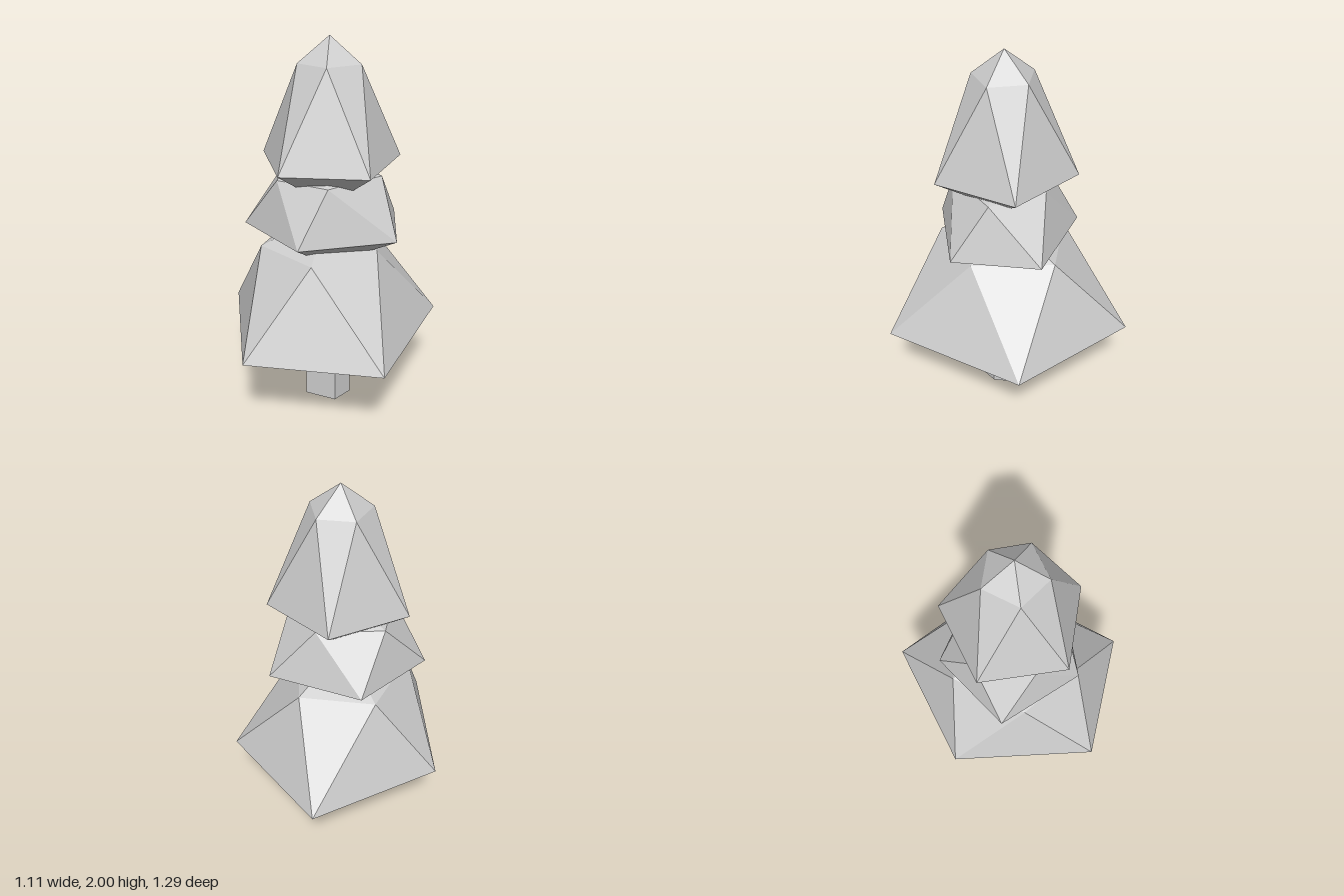
import * as THREE from 'three';

const material = new THREE.MeshStandardMaterial({ color: 0xcccccc, flatShading: true });

// Faceted tier: two five-point rings (upper points sit between lower points),
// closed by a top point and a bottom point. Ring points are [x, z].
function makeTier(name, { tip, upperY, upper, lowerY, lower, base }) {
  const n = lower.length;
  const positions = [];
  const up = i => [upper[i % n][0], upperY, upper[i % n][1]];
  const low = i => [lower[i % n][0], lowerY, lower[i % n][1]];
  const face = (...corners) => corners.forEach(c => positions.push(...c));
  for (let i = 0; i < n; i++) {
    face(up(i), tip, up(i + 1));           // cap
    face(low(i), up(i), low(i + 1));       // skirt
    face(low(i + 1), up(i), up(i + 1));
    face(low(i + 1), base, low(i));        // underside
  }
  const geometry = new THREE.BufferGeometry();
  geometry.setAttribute('position', new THREE.Float32BufferAttribute(positions, 3));
  geometry.computeVertexNormals();
  const mesh = new THREE.Mesh(geometry, material);
  mesh.name = name;
  return mesh;
}

export function createModel() {
  const tree = new THREE.Group();
  tree.name = 'pineTree';

  // Six-sided trunk, slightly tapered and slightly squared off
  const trunkGeometry = new THREE.CylinderGeometry(0.128, 0.132, 0.5, 6);
  trunkGeometry.rotateY(Math.PI / 2);
  const p = trunkGeometry.attributes.position;
  for (let i = 0; i < p.count; i++) {
    const x = p.getX(i);
    if (Math.abs(x) > 0.01 && Math.abs(x) < 0.1) p.setX(i, x * 1.34);
  }
  trunkGeometry.computeVertexNormals();
  const trunk = new THREE.Mesh(trunkGeometry, material);
  trunk.name = 'trunk';
  trunk.position.set(0.053, 0.25, 0.022);
  tree.add(trunk);

  // Foliage, from the wide bottom tier to the tall top tier
  tree.add(makeTier('bottomFoliage', {
    tip: [0.04, 1.07, 0.02], base: [0.05, 0.33, 0.02],
    upperY: 0.925, upper: [[0.34, 0.06], [0.11, 0.38], [-0.24, 0.24], [-0.25, -0.19], [0.13, -0.32]],
    lowerY: 0.45, lower: [[0.555, -0.335], [0.54, 0.47], [-0.15, 0.645], [-0.555, -0.04], [-0.12, -0.65]],
  }));
  tree.add(makeTier('middleFoliage', {
    tip: [0.045, 1.39, 0.02], base: [0.045, 0.78, 0.02],
    upperY: 1.3, upper: [[0.15, 0.265], [-0.14, 0.24], [-0.235, -0.06], [0.07, -0.23], [0.32, -0.04]],
    lowerY: 1.01, lower: [[0.46, 0.105], [0.05, 0.41], [-0.37, 0.17], [-0.215, -0.285], [0.3, -0.325]],
  }));
  tree.add(makeTier('topFoliage', {
    tip: [0.05, 2, 0.015], base: [0.05, 1.12, 0.015],
    upperY: 1.87, upper: [[0.1, 0.17], [-0.08, 0.115], [-0.08, -0.08], [0.1, -0.14], [0.22, 0.015]],
    lowerY: 1.37, lower: [[0.36, 0.24], [-0.065, 0.38], [-0.33, 0.015], [-0.065, -0.345], [0.36, -0.21]],
  }));

  return tree;
}
